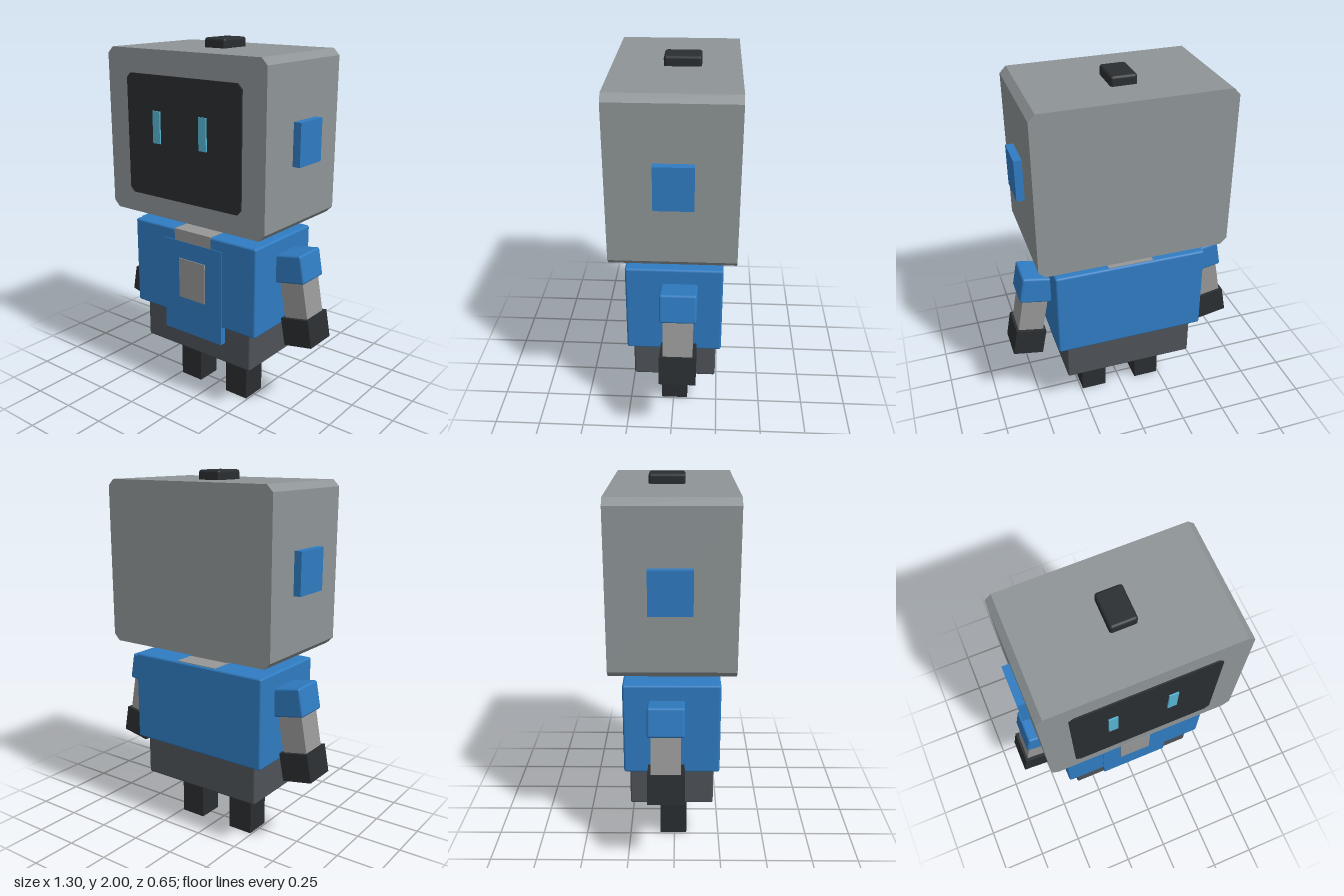
import * as THREE from 'three';
import { RoundedBoxGeometry } from 'three/addons/geometries/RoundedBoxGeometry.js';

const paint = (color) => new THREE.MeshStandardMaterial({ color });
const grey = paint(0x8f9597);
const lightGrey = paint(0x979797);
const blue = paint(0x2f7cc2);
const black = paint(0x2a2e31);
const slate = paint(0x4e5358);
const cyan = paint(0x55b5d3);

// Block given by its extents [min, max] on each axis; bevel softens its edges
function block(name, material, [x0, x1], [y0, y1], [z0, z1], bevel = 0) {
  const size = [x1 - x0, y1 - y0, z1 - z0];
  const geometry = bevel
    ? new RoundedBoxGeometry(...size, 2, bevel)
    : new THREE.BoxGeometry(...size);
  const mesh = new THREE.Mesh(geometry, material);
  mesh.name = name;
  mesh.position.set((x0 + x1) / 2, (y0 + y1) / 2, (z0 + z1) / 2);
  return mesh;
}

// Slab with cut corners, extruded along z
function cutSlab(name, material, [x0, x1], [y0, y1], [z0, z1], cut) {
  const shape = new THREE.Shape([
    [x0 + cut, y0], [x1 - cut, y0], [x1, y0 + cut], [x1, y1 - cut],
    [x1 - cut, y1], [x0 + cut, y1], [x0, y1 - cut], [x0, y0 + cut],
  ].map(([x, y]) => new THREE.Vector2(x, y)));
  const geometry = new THREE.ExtrudeGeometry(shape, { depth: z1 - z0, bevelEnabled: false });
  const mesh = new THREE.Mesh(geometry, material);
  mesh.name = name;
  mesh.position.z = z0;
  return mesh;
}

// Arm built around the shoulder centre, then tilted outward
function arm(side) {
  const group = new THREE.Group();
  group.name = side > 0 ? 'leftArm' : 'rightArm';
  group.add(
    block('sleeve', blue, [-0.09, 0.09], [-0.077, 0.077], [-0.095, 0.095], 0.012),
    block('forearm', lightGrey, [-0.07, 0.07], [-0.3, -0.05], [-0.076, 0.076]),
    block('hand', black, [-0.084, 0.084], [-0.426, -0.273], [-0.095, 0.095]),
  );
  group.position.set(side * 0.488, 0.85, -0.04);
  group.rotation.z = side * THREE.MathUtils.degToRad(10.5);
  return group;
}

export function createModel() {
  const robot = new THREE.Group();
  robot.name = 'robot';

  // Head with screen face, eyes, ears and top button
  const head = new THREE.Group();
  head.name = 'head';
  head.add(
    cutSlab('headShell', grey, [-0.51, 0.515], [1.075, 1.95], [-0.328, 0.31], 0.034),
    cutSlab('screen', black, [-0.37, 0.378], [1.185, 1.825], [0.28, 0.318], 0.025),
    block('rightEye', cyan, [-0.187, -0.139], [1.475, 1.643], [0.29, 0.326]),
    block('leftEye', cyan, [0.119, 0.167], [1.475, 1.643], [0.29, 0.326]),
    block('rightEar', blue, [-0.55, -0.48], [1.408, 1.63], [-0.125, 0.092]),
    block('leftEar', blue, [0.48, 0.557], [1.408, 1.63], [-0.115, 0.08]),
    block('topButton', black, [-0.065, 0.07], [1.93, 2.0], [-0.132, 0.055], 0.014),
  );
  robot.add(head);

  // Torso, collar strip, front flap and pocket
  const body = new THREE.Group();
  body.name = 'body';
  body.add(
    block('neck', lightGrey, [-0.125, 0.125], [0.95, 1.09], [-0.14, 0.11]),
    block('torso', blue, [-0.42, 0.417], [0.5, 0.998], [-0.265, 0.24], 0.012),
    block('collar', lightGrey, [-0.125, 0.125], [0.935, 1.001], [-0.255, 0.243]),
    block('frontFlap', blue, [-0.2, 0.197], [0.398, 0.935], [0.205, 0.245]),
    block('pocket', lightGrey, [-0.092, 0.088], [0.61, 0.838], [0.22, 0.25]),
    block('hips', slate, [-0.37, 0.365], [0.28, 0.52], [-0.237, 0.21], 0.01),
  );
  robot.add(body);

  // Paired limbs
  for (const side of [1, -1]) {
    robot.add(arm(side));
    const leg = block('leg', black, [-0.073, 0.073], [0, 0.3], [-0.08, 0.068]);
    leg.name = side > 0 ? 'leftLeg' : 'rightLeg';
    leg.position.x = side * 0.168;
    robot.add(leg);
  }
  return robot;
}
